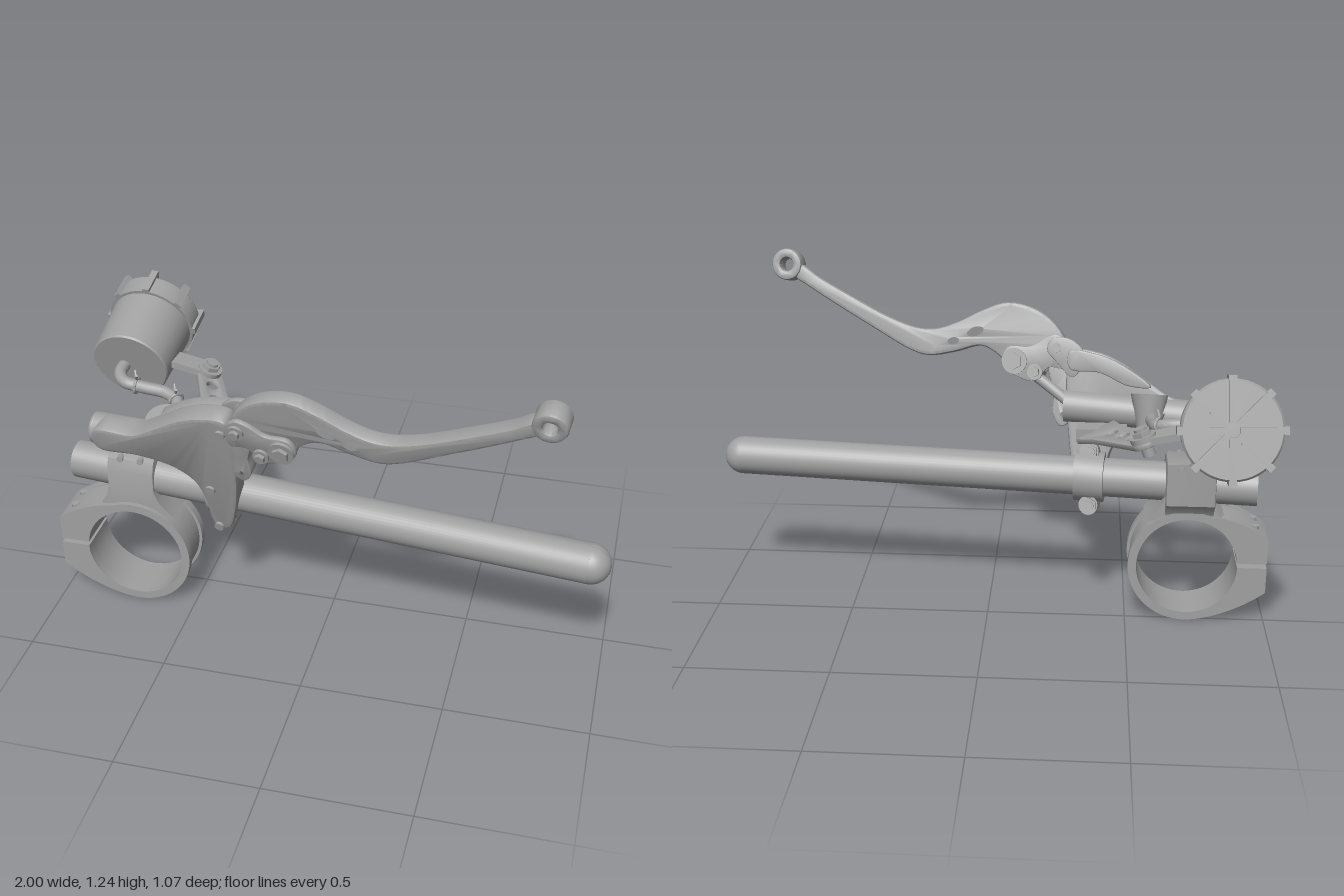
import * as THREE from 'three';
import { toCreasedNormals } from 'three/addons/utils/BufferGeometryUtils.js';

const metal = new THREE.MeshStandardMaterial({ color: 0xa0a0a0 });
metal.name = 'grey metal';
const V = (x, y, z) => new THREE.Vector3(x, y, z);

// Leaning frame of the brake: x and y match the front, z is depth off the tilted plane.
const lean = new THREE.Matrix4().makeBasis(V(1, 0, 0.107), V(0, 1, 0.28), V(-0.1, -0.27, 0.95)).setPosition(0, 0, 0.07);

export function createModel() {
  const root = new THREE.Group();
  root.name = 'brakeAssembly';

  function add(name, geo, matrix, parent = root) {
    if (matrix) geo.applyMatrix4(matrix);
    const mesh = new THREE.Mesh(toCreasedNormals(geo, 0.6), metal);
    mesh.name = name;
    parent.add(mesh);
    return mesh;
  }

  // Flat part cut from a shape between two depths, with a small bevel.
  function slab(name, shape, z0, z1, matrix, bevel = 0.006) {
    const geo = new THREE.ExtrudeGeometry(shape, {
      depth: z1 - z0 - 2 * bevel, curveSegments: 24, bevelEnabled: bevel > 0,
      bevelSize: bevel, bevelThickness: bevel, bevelOffset: -bevel, bevelSegments: 2,
    });
    geo.translate(0, 0, z0 + bevel);
    return add(name, geo, matrix);
  }

  // Round or hexagonal rod between two points.
  function rod(name, a, b, r, sides = 24, matrix = null, r2 = r) {
    const dir = b.clone().sub(a);
    const geo = new THREE.CylinderGeometry(r2, r, dir.length(), sides);
    geo.applyQuaternion(new THREE.Quaternion().setFromUnitVectors(V(0, 1, 0), dir.clone().normalize()));
    geo.translate((a.x + b.x) / 2, (a.y + b.y) / 2, (a.z + b.z) / 2);
    return add(name, geo, matrix);
  }

  const poly = (pts) => new THREE.Shape(pts.map((p) => new THREE.Vector2(p[0], p[1])));
  const smooth = (pts, n) => {
    const curve = new THREE.CatmullRomCurve3(pts.map((p) => V(p[0], p[1], 0)), true, 'centripetal');
    return new THREE.Shape(curve.getPoints(n).slice(0, -1).map((p) => new THREE.Vector2(p.x, p.y)));
  };
  const hole = (shape, x, y, rx, ry = rx, rot = 0) =>
    shape.holes.push(new THREE.Path().absellipse(x, y, rx, ry, 0, Math.PI * 2, true, rot));

  // Handlebar tube with a rounded outer end
  const barZ = (x) => 0.137 + 0.107 * x;
  const barPoint = (x) => V(x, 0.5, barZ(x));
  rod('handlebar', barPoint(-0.955), barPoint(0.93), 0.07, 40);
  add('handlebarEnd', new THREE.SphereGeometry(0.07, 32, 20)).position.copy(barPoint(0.93));

  // Fork clamp: split ring with raised rims and a tapered ear
  const cx = -0.715, cy = 0.205;
  function splitRing(name, r, z0, z1) {
    const s = new THREE.Shape();
    s.moveTo(-1, 0.222);
    s.lineTo(-1, 0.315);
    s.quadraticCurveTo(-0.9, 0.39, cx + r * Math.cos(1.95), cy + r * Math.sin(1.95));
    s.absarc(cx, cy, r, 1.95, -1.75, true);
    s.quadraticCurveTo(-0.88, 0.02, -1, 0.11);
    s.lineTo(-1, 0.205);
    s.lineTo(cx - 0.18, 0.205);
    s.absarc(cx, cy, 0.18, -Math.PI, Math.PI - 0.095, false);
    slab(name, s, z0, z1, null, 0);
  }
  splitRing('clampRearRim', 0.21, -0.015, 0.015);
  splitRing('clampBand', 0.199, 0.015, 0.135);
  splitRing('clampFrontRim', 0.21, 0.135, 0.165);
  for (const z of [0.035, 0.115]) {
    rod('clampBolt', V(-0.955, 0.08, z), V(-0.955, 0.353, z), 0.014, 12);
  }

  // Riser block holding the handlebar on the clamp
  const riser = poly([[-0.05, 0.605], [0.09, 0.605], [0.13, 0.585], [0.148, 0.54], [0.148, 0.395],
    [-0.01, 0.395], [-0.015, 0.41], [-0.05, 0.45]]);
  const acrossX = new THREE.Matrix4().makeBasis(V(0, 0, 1), V(0, 1, 0), V(-1, 0, 0));
  slab('riserBlock', riser, 0.63, 0.803, acrossX);
  slab('riserFoot', poly([[-0.803, 0.47], [-0.63, 0.47], [-0.615, 0.43], [-0.56, 0.37], [-0.64, 0.39],
    [-0.715, 0.4], [-0.8, 0.38], [-0.86, 0.37], [-0.815, 0.41]]), -0.01, 0.148, null, 0);
  for (const x of [-0.755, -0.68]) {
    rod('riserScrew', V(x, 0.585, -0.06), V(x, 0.585, 0.135), 0.012, 12);
  }

  // Brake body: sculpted bracket plate and master cylinder
  const body = smooth([[-0.825, 0.7], [-0.8, 0.755], [-0.66, 0.765], [-0.58, 0.81], [-0.47, 0.88],
    [-0.39, 0.91], [-0.3, 0.915], [-0.278, 0.87], [-0.283, 0.66], [-0.31, 0.47], [-0.345, 0.375],
    [-0.385, 0.36], [-0.408, 0.4], [-0.42, 0.5], [-0.45, 0.59], [-0.52, 0.642], [-0.65, 0.665], [-0.8, 0.66]], 110);
  slab('brakeBody', body, -0.06, 0.022, lean, 0.012);
  rod('masterCylinder', V(-0.83, 0.7, -0.045), V(-0.27, 0.72, -0.045), 0.056, 28, lean);
  add('cylinderMouth', new THREE.TorusGeometry(0.045, 0.012, 10, 28).rotateY(Math.PI / 2).translate(-0.832, 0.7, -0.045), lean);
  slab('bodyTopFlange', smooth([[-0.58, 0.8], [-0.47, 0.875], [-0.38, 0.905], [-0.29, 0.91], [-0.29, 0.85],
    [-0.4, 0.84], [-0.5, 0.8]], 40), -0.1, -0.05, lean);
  for (const [x, y] of [[-0.315, 0.86], [-0.39, 0.57], [-0.38, 0.385]]) {
    rod('bodyScrew', V(x, y, 0), V(x, y, 0.032), 0.018, 16, lean);
  }

  // Rear half of the handlebar clamp with its bolts
  rod('barClamp', barPoint(-0.415), barPoint(-0.31), 0.09, 32);
  for (const y of [0.57, 0.385]) {
    rod('barClampBolt', V(-0.375, y, -0.01), V(-0.375, y, -0.16), 0.017, 16, lean);
    rod('barClampBoss', V(-0.37, y, -0.03), V(-0.37, y, -0.125), 0.034, 20, lean);
    rod('barClampNut', V(-0.375, y, -0.125), V(-0.375, y, -0.148), 0.026, 6, lean);
  }

  // Lever blade with lightening holes and an eyelet tip
  const blade = smooth([[-0.27, 0.93], [-0.23, 1.0], [-0.15, 1.053], [-0.05, 1.07], [0.04, 1.04],
    [0.13, 0.995], [0.21, 0.968], [0.28, 0.968], [0.385, 1.0], [0.545, 1.075], [0.65, 1.128], [0.735, 1.175],
    [0.745, 1.13], [0.7, 1.1], [0.6, 1.043], [0.44, 0.957], [0.305, 0.888], [0.24, 0.872], [0.145, 0.888],
    [0.04, 0.914], [-0.03, 0.877], [-0.064, 0.83], [-0.107, 0.834], [-0.18, 0.85], [-0.26, 0.865]], 150);
  hole(blade, 0.064, 0.963, 0.044, 0.028, -0.35);
  hole(blade, 0.145, 0.926, 0.034, 0.025, -0.2);
  hole(blade, 0.222, 0.905, 0.018, 0.012, -0.1);
  slab('leverBlade', blade, -0.03, 0.03, lean, 0.012);
  const eyelet = new THREE.Shape().absarc(0.778, 1.172, 0.056, 0, Math.PI * 2, false);
  hole(eyelet, 0.778, 1.172, 0.024);
  slab('leverTip', eyelet, -0.038, 0.038, lean, 0.01);

  // Lever carrier plates, pivots and adjuster
  const carrier = [[-0.28, 0.93], [-0.24, 0.965], [-0.2, 0.955], [-0.14, 0.92], [-0.06, 0.915], [-0.037, 0.86],
    [-0.085, 0.818], [-0.16, 0.8], [-0.21, 0.85], [-0.27, 0.85]];
  for (const z of [-0.052, 0.032]) slab('leverCarrier', smooth(carrier, 50), z, z + 0.02, lean, 0.004);
  slab('bodyFork', smooth([[-0.34, 0.9], [-0.29, 0.95], [-0.22, 0.95], [-0.205, 0.91], [-0.24, 0.87],
    [-0.3, 0.82]], 40), -0.07, -0.05, lean, 0.004);
  for (const [x, y, r] of [[-0.24, 0.92, 0.028], [-0.085, 0.866, 0.045], [-0.16, 0.832, 0.028]]) {
    rod('pivotBoss', V(x, y, -0.062), V(x, y, 0.062), r, 24, lean);
    rod('pivotNut', V(x, y, -0.078), V(x, y, 0.075), r * 0.65, 6, lean);
  }
  const arm = smooth([[-0.285, 0.86], [-0.21, 0.85], [-0.228, 0.76], [-0.225, 0.69], [-0.255, 0.647],
    [-0.295, 0.675], [-0.285, 0.75]], 50);
  hole(arm, -0.26, 0.688, 0.014);
  slab('adjusterArm', arm, -0.035, 0.02, lean);
  rod('pushRod', V(-0.29, 0.73, -0.04), V(-0.14, 0.832, -0.02), 0.02, 16, lean);

  // Drilled strap carrying the reservoir
  const strapA = V(-0.38, 0.675, 0.08), strapB = V(-0.54, 0.755, -0.255);
  const u = strapB.clone().sub(strapA).normalize();
  const w = V(0.35, 0.93, 0).cross(u).normalize();
  const n = u.clone().cross(w);
  const len = strapA.distanceTo(strapB);
  const strap = new THREE.Shape();
  strap.moveTo(0, -0.08);
  strap.lineTo(0.1, -0.06);
  strap.lineTo(len, -0.046);
  strap.absarc(len, 0, 0.046, -Math.PI / 2, Math.PI / 2, false);
  strap.lineTo(0.1, 0.06);
  strap.lineTo(0, 0.08);
  for (const d of [0.135, 0.225, 0.3]) hole(strap, d, 0, 0.022);
  slab('reservoirStrap', strap, -0.01, 0.01, new THREE.Matrix4().makeBasis(u, w, n).setPosition(strapA), 0.003);
  add('strapFoot', new THREE.BoxGeometry(0.18, 0.05, 0.08).translate(-0.4, 0.665, 0.1));
  const along = (d) => strapB.clone().addScaledVector(n, d);
  rod('strapBolt', along(-0.045), along(0.055), 0.022, 16);
  rod('strapWasher', along(0.008), along(0.028), 0.045, 24);
  rod('strapNut', along(0.028), along(0.045), 0.034, 6);

  // Fluid reservoir with a ribbed cap
  const reservoir = new THREE.Group();
  reservoir.name = 'reservoir';
  reservoir.position.set(-0.813, 0.795, -0.174);
  reservoir.quaternion.setFromUnitVectors(V(0, 1, 0), V(0.012, 0.085, -0.303).normalize());
  root.add(reservoir);
  const profile = (pts) => new THREE.LatheGeometry(pts.map((p) => new THREE.Vector2(p[0], p[1])), 48);
  add('reservoirCup', profile([[0, 0], [0.138, 0], [0.143, 0.006], [0.153, 0.24], [0, 0.24]]), null, reservoir);
  add('reservoirCap', profile([[0, 0.225], [0.163, 0.225], [0.163, 0.305], [0.156, 0.314], [0, 0.314]]), null, reservoir);
  for (let i = 0; i < 8; i++) {
    const turn = new THREE.Matrix4().makeRotationY((i * Math.PI) / 4);
    add('capRib', new THREE.BoxGeometry(0.15, 0.022, 0.022).translate(0.097, 0.321, 0), turn, reservoir);
    add('capGrip', new THREE.BoxGeometry(0.016, 0.108, 0.026).translate(0.166, 0.278, 0), turn, reservoir);
  }
  add('reservoirLug', new THREE.BoxGeometry(0.14, 0.025, 0.08).rotateZ(-0.2).translate(-0.62, 0.785, -0.255));

  // Fluid inlet cup and hose with spring clips
  rod('inletCup', V(-0.575, 0.64, -0.08), V(-0.575, 0.775, -0.08), 0.04, 28, lean, 0.066);
  const hose = new THREE.CatmullRomCurve3([V(-0.575, 0.725, 0.08), V(-0.58, 0.73, 0.02), V(-0.59, 0.745, -0.045),
    V(-0.64, 0.758, -0.075), V(-0.73, 0.767, -0.08), V(-0.805, 0.775, -0.09), V(-0.835, 0.785, -0.13), V(-0.835, 0.795, -0.19)]);
  add('hose', new THREE.TubeGeometry(hose, 60, 0.023, 16));
  for (const t of [0.3, 0.65]) {
    const p = hose.getPointAt(t);
    const clip = add('hoseClip', new THREE.TorusGeometry(0.026, 0.006, 8, 24));
    clip.position.copy(p);
    clip.quaternion.setFromUnitVectors(V(0, 0, 1), hose.getTangentAt(t));
    for (const s of [-1, 1]) {
      rod('clipTail', V(p.x, p.y + 0.022, p.z), V(p.x + s * 0.01, p.y + 0.052, p.z + s * 0.02), 0.005, 8);
    }
  }
  return root;
}
